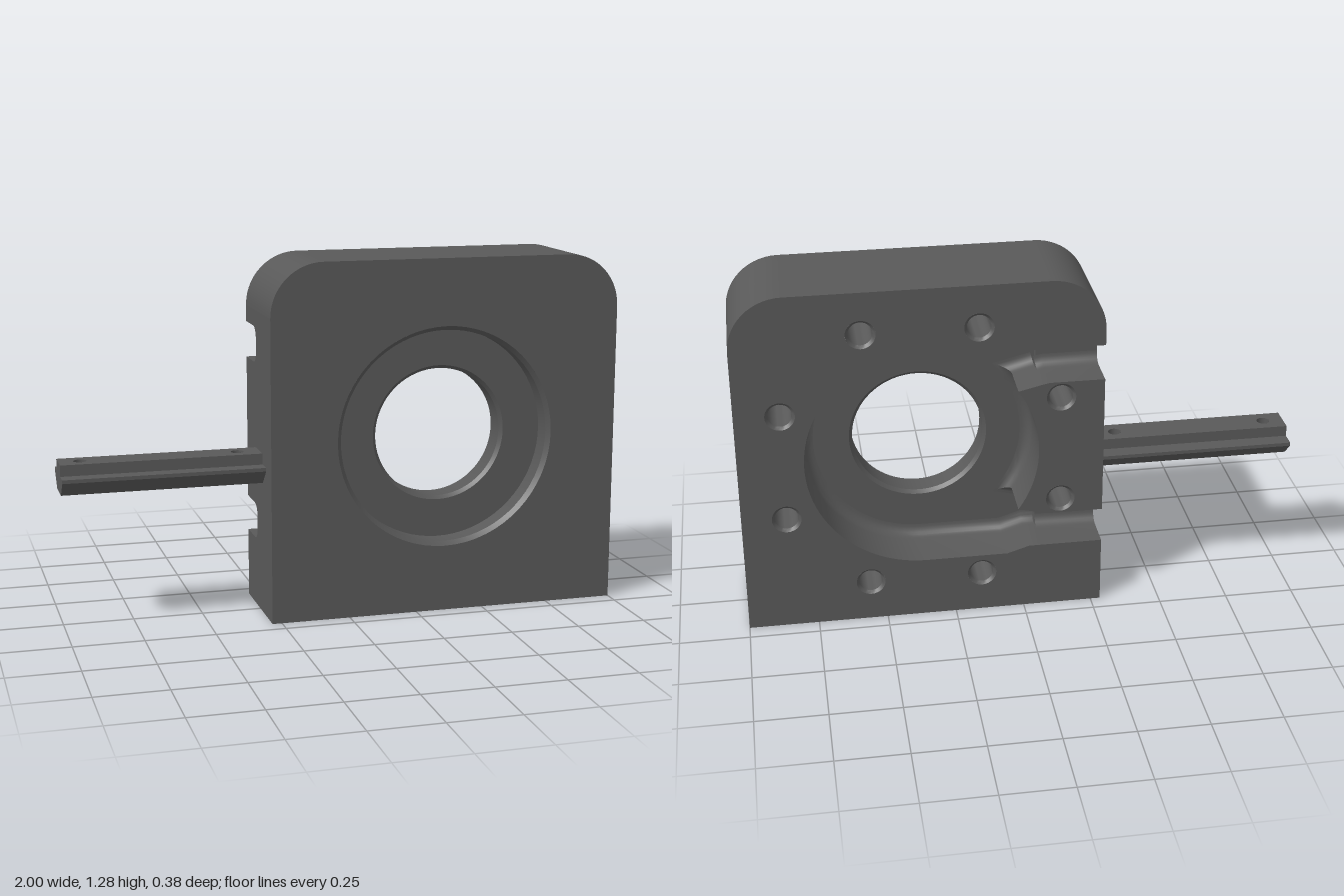
import * as THREE from 'three';
import { toCreasedNormals } from 'three/addons/utils/BufferGeometryUtils.js';

const CX = 0.355, CY = 0.64;            // bore centre
const X0 = -0.285, X1 = 1, TOP = 1.28;  // housing extents
const ZB = -0.19, ZF = 0.19;
const FLOOR = 0, SLOT = -0.035, FILLET = 0.04, STEP = -0.065;

// Surface through equal-length rows of [x, y, z] points
function skin(rows) {
  const n = rows[0].length, index = [];
  for (let r = 0; r < rows.length - 1; r++) {
    for (let c = 0; c < n - 1; c++) {
      const a = r * n + c, b = a + n;
      index.push(a, b, a + 1, b, b + 1, a + 1);
    }
  }
  const g = new THREE.BufferGeometry();
  g.setAttribute('position', new THREE.Float32BufferAttribute(rows.flat(2), 3));
  g.setIndex(index);
  return toCreasedNormals(g, 0.5);
}

// Flat face from outline points, with round holes [x, y, r]
function face(points, holes = []) {
  const shape = new THREE.Shape(points.map(p => new THREE.Vector2(p[0], p[1])));
  for (const [x, y, r] of holes) shape.holes.push(new THREE.Path().absarc(x, y, r, 0, Math.PI * 2, true));
  return new THREE.ShapeGeometry(shape, 32);
}

function lathe(points, segments) {
  return toCreasedNormals(new THREE.LatheGeometry(points.map(p => new THREE.Vector2(...p)), segments), 0.5);
}

function arc(r, from, to, n, cx = CX, cy = CY) {
  return Array.from({ length: n + 1 }, (_, i) => {
    const a = THREE.MathUtils.degToRad(from + (to - from) * i / n);
    return [cx + r * Math.cos(a), cy + r * Math.sin(a)];
  });
}

// Wall profile [offset, z]: straight side, then a fillet into the floor
function wallProfile(floor) {
  const out = [[0, ZB]];
  for (let i = 0; i <= 6; i++) {
    const a = i / 6 * Math.PI / 2;
    out.push([FILLET * (1 - Math.cos(a)), floor - FILLET + FILLET * Math.sin(a)]);
  }
  return out;
}

// Sweep the wall profile along a path; side is +1 for right, -1 for left
function filletedWall(path, side) {
  const normal = (a, b) => {
    const dx = b[0] - a[0], dy = b[1] - a[1], l = Math.hypot(dx, dy);
    return [side * dy / l, -side * dx / l];
  };
  return skin(path.map((p, i) => {
    const n1 = normal(path[Math.max(i - 1, 0)], path[Math.max(i, 1)]);
    const last = path.length - 1;
    const n2 = normal(path[Math.min(i, last - 1)], path[Math.min(i + 1, last)]);
    const k = 1 + n1[0] * n2[0] + n1[1] * n2[1];
    const m = [(n1[0] + n2[0]) / k, (n1[1] + n2[1]) / k];
    return wallProfile(p[0] <= STEP ? SLOT : FLOOR).map(([o, z]) => [p[0] + m[0] * o, p[1] + m[1] * o, z]);
  }));
}

// Countersunk blind hole opening towards +y
function blindHole(r, chamfer, depth) {
  return lathe([[0, -depth - r * 0.5], [r, -depth], [r, -chamfer], [r + chamfer, 0]], 28);
}

export function createModel() {
  const model = new THREE.Group();
  const steel = new THREE.MeshStandardMaterial({ color: 0x595959, side: THREE.DoubleSide });
  steel.name = 'dark grey';
  const add = (name, geometry, x = 0, y = 0, z = 0, parent = model) => {
    const mesh = new THREE.Mesh(geometry, steel);
    mesh.name = name;
    mesh.position.set(x, y, z);
    parent.add(mesh);
    return mesh;
  };

  const housing = new THREE.Group();
  housing.name = 'housing';
  model.add(housing);
  const body = (name, g, x, y, z) => add(name, g, x, y, z, housing);

  // Outer outline: right side, rounded top, left side
  const R = 0.19;
  const outline = [
    [X1, 0], ...arc(R, 0, 90, 14, X1 - R, TOP - R), ...arc(R, 90, 180, 14, X0 + R, TOP - R),
  ];
  const mirrorY = pts => pts.map(([x, y]) => [x, 2 * CY - y]).reverse();

  // Pocket outline and the inner boss between the two slots
  const pocketTop = [[X0, 1.03], [STEP, 1.03], [STEP + 0.004, 1.03], [-0.02, 1.03], [0.06, 1.055]];
  const pocket = [...pocketTop, ...arc(0.415, 90, -90, 48), ...mirrorY(pocketTop)];
  const bossTop = [[X0, 0.9], [-0.09, 0.9], [STEP, 0.895], [STEP + 0.004, 0.894]];
  const boss = [...bossTop, ...arc(0.409, 145, 215, 20), ...mirrorY(bossTop)];

  // Flat faces of the housing
  body('frontFace', face([[X0, 0], ...outline], [[CX, CY, 0.4]]), 0, 0, ZF);
  body('outerWall', skin(outline.map(([x, y]) => [[x, y, ZF], [x, y, ZB]])));
  const bolts = arc(0.527, 22.5, 337.5, 7).map(([x, y]) => [x, y, 0.052]);
  body('backFace', face([[X0, 0], ...outline, ...pocket], bolts.filter(b => b[0] > 0)), 0, 0, ZB);
  body('bossFace', face(boss, bolts.filter(b => b[0] < 0)), 0, 0, ZB);

  // Slotted side face, drawn in z and y
  const edge = (y, s) => wallProfile(SLOT).map(([o, z]) => [z, y + s * o]);
  body('slottedSide', face([
    [ZB, 0], [ZF, 0], [ZF, TOP - R], [ZB, TOP - R],
    ...edge(1.03, -1), ...edge(0.9, 1).reverse(),
    ...edge(0.38, -1), ...edge(0.25, 1).reverse(),
  ]).rotateY(-Math.PI / 2), X0);

  // Underside with mounting holes
  const feet = [-0.565, 0, 0.565].map(d => CX + d);
  body('underside', face([[X0, ZB], [X1, ZB], [X1, ZF], [X0, ZF]], feet.map(x => [x, 0, 0.056])).rotateX(Math.PI / 2));
  for (const x of feet) body('mountingHole', blindHole(0.044, 0.012, 0.13).rotateX(Math.PI), x);

  // Bolt circle on the back
  for (const [x, y] of bolts) body('boltHole', blindHole(0.042, 0.01, 0.2).rotateX(-Math.PI / 2), x, y, ZB);

  // Pocket, boss wall and channels
  body('pocketWall', filletedWall(pocket, 1));
  body('bossWall', filletedWall(boss, -1));
  body('pocketFloor', face(pocket, [[CX, CY, 0.247]]), 0, 0, FLOOR);
  for (const y of [0.965, 0.315]) {
    const len = STEP - X0 - 0.002;
    body('channelFloor', new THREE.BoxGeometry(len, 0.13, FLOOR - SLOT), STEP - len / 2, y, (FLOOR + SLOT) / 2);
  }

  // Front counterbore and through bore
  body('bore', lathe([
    [0.4, ZF], [0.385, ZF - 0.015], [0.385, 0.105], [0.247, 0.105],
    [0.235, 0.093], [0.235, 0.012], [0.247, 0],
  ], 72).rotateX(Math.PI / 2), CX, CY);

  // Dovetail rail with two through holes
  const rail = new THREE.Group();
  rail.name = 'rail';
  model.add(rail);
  const half = [[0.055, 0.59], [0.055, 0.55], [0.11, 0.55], [0.11, 0.537], [0.055, 0.483]];
  for (const s of [1, -1]) {
    add('railSide', skin(half.map(([z, y]) => [[-1, y, s * z], [X0, y, s * z]])), 0, 0, 0, rail);
  }
  const section = [...half, ...half.map(([z, y]) => [-z, y]).reverse()];
  add('railEnd', face(section).rotateY(-Math.PI / 2), -1, 0, 0, rail);
  const pins = [-0.925, -0.365];
  for (const y of [0.59, 0.483]) {
    const plate = face([[-1, -0.055], [X0, -0.055], [X0, 0.055], [-1, 0.055]], pins.map(x => [x, 0, 0.023]));
    add('railFace', plate.rotateX(y > 0.5 ? -Math.PI / 2 : Math.PI / 2), 0, y, 0, rail);
  }
  for (const x of pins) {
    add('railHole', new THREE.CylinderGeometry(0.023, 0.023, 0.107, 24, 1, true), x, 0.5365, 0, rail);
  }
  return model;
}
